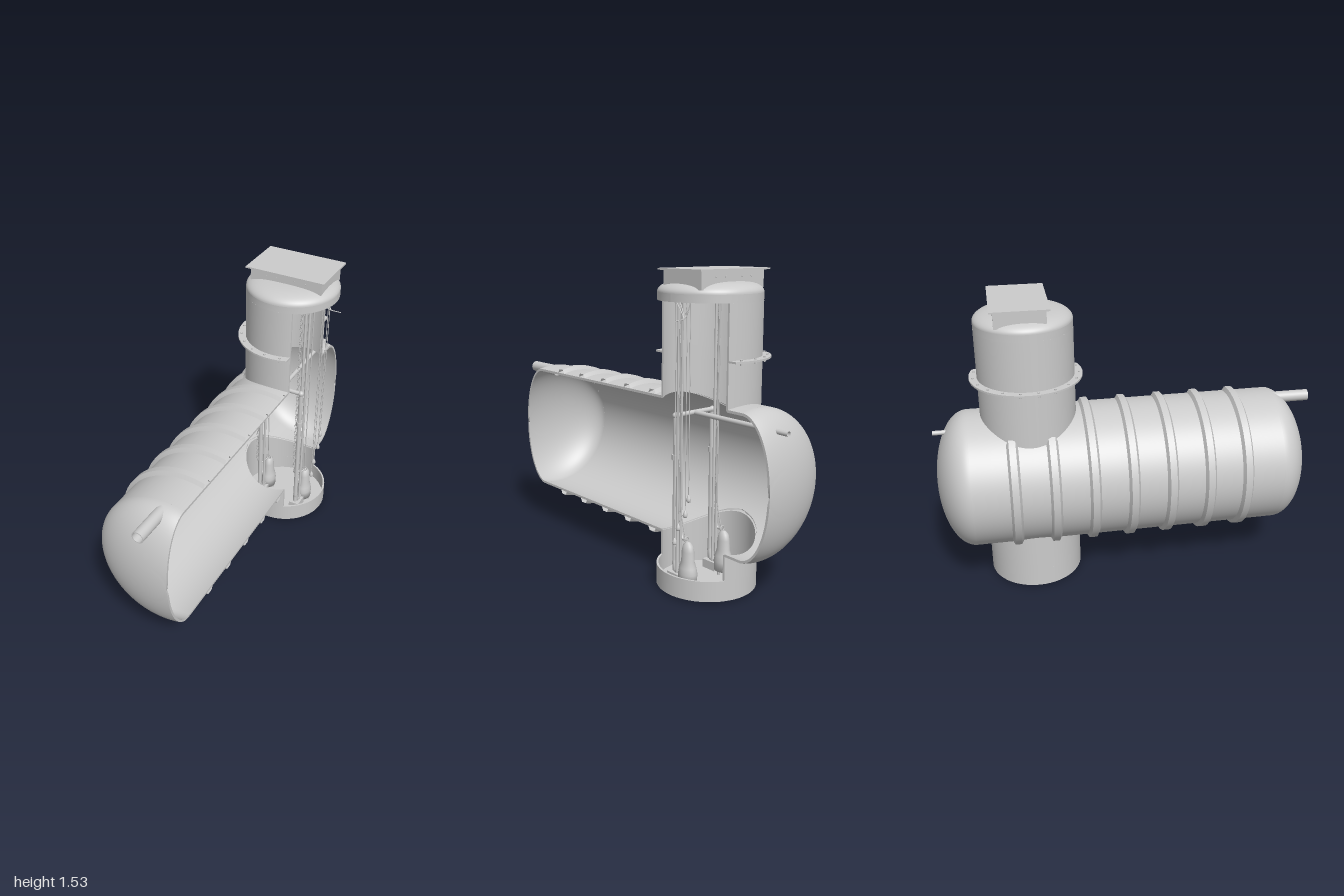
import * as THREE from 'three';
import { mergeGeometries } from 'three/addons/utils/BufferGeometryUtils.js';

const mat = new THREE.MeshStandardMaterial({ color: 0xcccccc, side: THREE.DoubleSide });
const V = (x, y, z) => new THREE.Vector3(x, y, z);
const lerp = THREE.MathUtils.lerp;

const CX = 0.06, TY = 0.575, SZ = -0.508;   // tank axis x and y, shaft axis z
const CUT = 0.1;                            // cutaway plane, measured from the axis
const TR = [0.36, 0.348];                   // tank outer and inner radius
const SR = [0.245, 0.235];                  // shaft outer and inner radius

// Grid surface from a rule p(u, v)
function patch(p, nu, nv) {
  const pos = [], idx = [];
  for (let j = 0; j <= nv; j++) for (let i = 0; i <= nu; i++) pos.push(...p(i / nu, j / nv));
  for (let j = 0; j < nv; j++) for (let i = 0; i < nu; i++) {
    const a = j * (nu + 1) + i, b = a + nu + 1;
    idx.push(a, a + 1, b, a + 1, b + 1, b);
  }
  const g = new THREE.BufferGeometry();
  g.setAttribute('position', new THREE.Float32BufferAttribute(pos, 3));
  g.setIndex(idx);
  g.computeVertexNormals();
  return g;
}

// Walled shell: outer skin (k = 0), inner skin (k = 1) and the edges between them
function shell(p, nu, nv) {
  const mix = (u, v, w) => { const a = p(u, v, 0), b = p(u, v, 1); return a.map((c, i) => lerp(c, b[i], w)); };
  return mergeGeometries([
    patch((u, v) => p(u, v, 0), nu, nv), patch((u, v) => p(1 - u, v, 1), nu, nv),
    patch((w, v) => mix(0, v, w), 1, nv), patch((w, v) => mix(1, v, w), 1, nv),
    patch((u, w) => mix(u, 0, w), nu, 1), patch((u, w) => mix(u, 1, w), nu, 1),
  ]);
}

// Angle along the part of a circle that lies behind the cutaway plane
function cutAngle(u, r) {
  const a = r > CUT ? Math.acos(CUT / r) : 0;
  return lerp(a, 2 * Math.PI - a, u);
}

export function createModel() {
  const root = new THREE.Group();
  const add = (name, geo, parent = root) => {
    const m = new THREE.Mesh(geo, mat);
    m.name = name;
    parent.add(m);
    return m;
  };
  const group = (name) => { const g = new THREE.Group(); g.name = name; root.add(g); return g; };
  const cyl = (name, r, h, x, y, z, parent = root, n = 12) => {
    const m = add(name, new THREE.CylinderGeometry(r, r, h, n), parent);
    m.position.set(x, y, z);
    return m;
  };
  const tube = (name, pts, r, parent = root, n = 10) => {
    const path = new THREE.CurvePath();
    for (let i = 1; i < pts.length; i++) path.add(new THREE.LineCurve3(pts[i - 1], pts[i]));
    const curve = pts.length === 2 ? path.curves[0] : new THREE.CatmullRomCurve3(pts, false, 'catmullrom', 0.1);
    return add(name, new THREE.TubeGeometry(curve, pts.length === 2 ? 1 : 32, r, n), parent);
  };

  // Tank barrel, open where the shaft passes through, with a dome at each end
  const tank = group('tank');
  for (const s of [1, -1]) {
    const zEnd = -0.02 + s * 0.8;
    add('barrel', shell((u, v, k) => {
      const a = cutAngle(u, TR[k]), dx = TR[k] * Math.cos(a);
      const hole = Math.sqrt(Math.max(0, 0.242 ** 2 - dx * dx));
      return [CX + dx, TY + TR[k] * Math.sin(a), lerp(SZ + s * hole, zEnd, v)];
    }, 160, 3), tank);
    add('endDome', shell((u, v, k) => {
      const t = v * Math.PI / 2, r = TR[k] * Math.cos(t), a = cutAngle(u, r);
      return [CX + r * Math.cos(a), TY + r * Math.sin(a), zEnd + s * (0.18 - 0.012 * k) * Math.sin(t)];
    }, 64, 40), tank);
  }

  // Stiffening ribs; those beside the shaft stop at its wall
  const ribProfile = [[-0.03, 0.358], [-0.017, 0.38], [0.017, 0.38], [0.03, 0.358]];
  for (let i = 0; i < 7; i++) {
    const z = 0.58 - i * 0.198, d = Math.abs(z - SZ);
    const dx = d < SR[0] ? -Math.sqrt(SR[0] ** 2 - d * d) : CUT;
    const strips = [0, 1, 2].map((j) => patch((u, v) => {
      const dz = lerp(ribProfile[j][0], ribProfile[j + 1][0], v);
      const r = lerp(ribProfile[j][1], ribProfile[j + 1][1], v);
      const a0 = Math.acos(dx / r), a = lerp(a0, 2 * Math.PI - a0, u);
      return [CX + r * Math.cos(a), TY + r * Math.sin(a), z + dz];
    }, 72, 1));
    add('rib', mergeGeometries(strips), tank);
  }

  // Shaft walls above and below the tank, trimmed to its curve
  const shaft = group('shaft');
  for (const [s, yEnd] of [[1, 1.39], [-1, 0.11]]) {
    add(s > 0 ? 'upperShaft' : 'lowerShaft', shell((u, v, k) => {
      const a = cutAngle(u, SR[k]), dx = SR[k] * Math.cos(a);
      const y = TY + s * Math.sqrt(0.352 ** 2 - dx * dx);
      return [CX + dx, lerp(y, yEnd, v), SZ + SR[k] * Math.sin(a)];
    }, 72, 2), shaft);
  }

  // Sump basin
  const basin = [[0, 0.01], [0.245, 0.01], [0.245, 0.01], [0.245, 0.11], [0.245, 0.11], [0.235, 0.11],
    [0.235, 0.11], [0.235, 0.022], [0.235, 0.022], [0, 0.022]].map((p) => new THREE.Vector2(...p));
  add('sumpBasin', new THREE.LatheGeometry(basin, 64), shaft).position.set(CX, 0, SZ);

  // Flange with bolts
  add('flange', shell((u, v, k) => {
    const r = lerp(0.244, 0.285, v), a = cutAngle(u, r);
    return [CX + r * Math.cos(a), 1.139 - 0.009 * k, SZ + r * Math.sin(a)];
  }, 64, 1), shaft);
  for (let i = 0; i < 12; i++) {
    const a = cutAngle((i + 0.5) / 12, 0.267);
    cyl('flangeBolt', 0.006, 0.026, CX + 0.267 * Math.cos(a), 1.132, SZ + 0.267 * Math.sin(a), shaft, 6);
  }

  // Domed cap with a rectangular hatch opening
  const hatch = group('hatch');
  const HX = 0.195, HZ = 0.122, HC = V(CX, 0, -0.53);
  add('capSkirt', shell((u, v, k) => {
    const a = u * 2 * Math.PI;
    return [CX + SR[k] * Math.cos(a), lerp(1.39, 1.427, v), SZ + SR[k] * Math.sin(a)];
  }, 64, 1), shaft);
  add('capDome', shell((u, v, k) => {
    const a = u * 2 * Math.PI, c = Math.cos(a), s = Math.sin(a);
    const inner = Math.min(HX / Math.max(1e-6, Math.abs(c)), (s < 0 ? HZ + 0.022 : HZ - 0.022) / Math.max(1e-6, Math.abs(s)));
    const r = lerp(Math.min(inner, 0.235), SR[k], Math.sin(v * Math.PI / 2));
    const y = 1.427 + (0.054 - 0.008 * k) * Math.sqrt(Math.max(0, 1 - (r / SR[k]) ** 4));
    return [CX + r * c, y, SZ + r * s];
  }, 128, 14), shaft);
  for (const s of [1, -1]) {
    const side = add('hatchSide', new THREE.BoxGeometry(0.006, 0.085, HZ * 2), hatch);
    side.position.set(CX + s * HX, 1.487, HC.z);
    const face = add('hatchFace', new THREE.BoxGeometry(HX * 2, 0.085, 0.006), hatch);
    face.position.set(CX, 1.487, HC.z + s * HZ);
    for (const dx of [-0.11, -0.05, 0.05, 0.11]) {
      cyl('hatchBolt', 0.004, 0.012, CX + dx, 1.5, HC.z + s * HZ, hatch, 6).rotation.x = Math.PI / 2;
    }
  }
  add('hatchLid', new THREE.BoxGeometry(0.435, 0.008, 0.285), hatch).position.set(CX, 1.53, HC.z);

  // Inlet pipe, open at both ends
  const ring = [[0.03, 0], [0.03, 0.23], [0.03, 0.23], [0.026, 0.23], [0.026, 0.23], [0.026, 0], [0.026, 0], [0.03, 0]];
  const inlet = add('inletPipe', new THREE.LatheGeometry(ring.map((p) => new THREE.Vector2(...p)), 28));
  inlet.rotation.x = Math.PI / 2;
  inlet.position.set(CX, 0.902, 0.77);

  // Outlet pipe and the cross pipe that joins the two risers
  const PZ = -0.41, PY = 0.845, PX = 0.12;
  tube('outletPipe', [V(CX, PY, PZ), V(CX, PY, -1)], 0.012, root, 16);
  tube('crossPipe', [V(CX - PX, PY, PZ), V(CX + PX, PY, PZ)], 0.012, root, 16);

  // Two pump sets, each with riser, valve, guide rails and chain
  const body = [[0, 0.04], [0.05, 0.04], [0.052, 0.09], [0.046, 0.12], [0.036, 0.15], [0.034, 0.2], [0.027, 0.23],
    [0.012, 0.245], [0, 0.247]].map((p) => new THREE.Vector2(...p));
  for (const s of [1, -1]) {
    const x = CX + s * PX, set = group(s > 0 ? 'leftPumpSet' : 'rightPumpSet');
    const pump = add('pump', new THREE.LatheGeometry(body, 24), set);
    pump.position.set(x + 0.01, 0, -0.515);
    pump.scale.x = 0.8;
    for (const a of [0, 1, 2]) {
      const t = a * 2.094;
      cyl('pumpFoot', 0.007, 0.03, x + 0.01 + 0.03 * Math.cos(t), 0.033, -0.515 + 0.036 * Math.sin(t), set, 8);
    }
    const eye = add('liftingEye', new THREE.TorusGeometry(0.013, 0.003, 6, 14), set);
    eye.position.set(x + 0.01, 0.255, -0.505);
    tube('pumpSpout', [V(x, 0.07, -0.51), V(x, 0.07, -0.45), V(x, 0.075, -0.42), V(x, 0.12, PZ)], 0.015, set);
    add('pumpStand', new THREE.BoxGeometry(0.06, 0.045, 0.085), set).position.set(x, 0.043, -0.43);
    cyl('riser', 0.012, PY - 0.07, x, (PY + 0.07) / 2, PZ, set, 16);
    add('elbow', new THREE.SphereGeometry(0.016, 16, 12), set).position.set(x, PY, PZ);
    cyl('valve', 0.018, 0.026, x, 0.642, PZ, set, 16);
    for (const dx of [-0.01, 0.012]) cyl('guideRail', 0.007, 1.34, x + dx, 0.72, -0.44, set, 10);
    tube('powerCable', [V(x + 0.02, 1.39, -0.475), V(x + 0.02, 0.4, -0.475), V(x + 0.012, 0.24, -0.505)], 0.003, set, 6);

    // Chain links, alternately turned, then a slack end to the pump
    const links = [];
    for (let i = 0; i < 46; i++) {
      const g = new THREE.TorusGeometry(0.007, 0.002, 4, 8);
      g.scale(1, 2, 1).rotateY((i % 2) * Math.PI / 2).translate(x - 0.025, 1.375 - i * 0.024, -0.422);
      links.push(g);
    }
    add('chain', mergeGeometries(links), set);
    tube('chainEnd', [V(x - 0.025, 0.28, -0.422), V(x - 0.015, 0.235, -0.45), V(x + 0.01, 0.25, -0.5)], 0.005, set, 6);

    // Anchor bolts through the floor
    for (const dx of [-0.022, 0, 0.024]) for (const z of [-0.405, -0.45]) {
      cyl('anchorBolt', 0.004, 0.025, x + dx, 0.0125, z, set, 8);
    }
  }

  // Level floats on cables
  const floats = group('levelFloats');
  const drop = [[0, -0.018], [0.008, -0.016], [0.012, -0.007], [0.009, 0.004], [0.004, 0.017], [0, 0.021]]
    .map((p) => new THREE.Vector2(...p));
  for (const [y, z] of [[0.488, -0.575], [0.408, -0.553], [0.33, -0.505], [0.252, -0.48]]) {
    add('float', new THREE.LatheGeometry(drop, 14), floats).position.set(0.245, y, z);
    tube('floatCable', [V(0.245, y, z), V(0.245, 1.4, z)], 0.0022, floats, 6);
    tube('cableTail', [V(0.245, 1.39, z), V(0.25, 1.33, lerp(z, -0.55, 0.7)), V(0.265, 1.313, -0.55), V(0.315, 1.31, -0.556)],
      0.0022, floats, 6);
  }
  return root;
}
